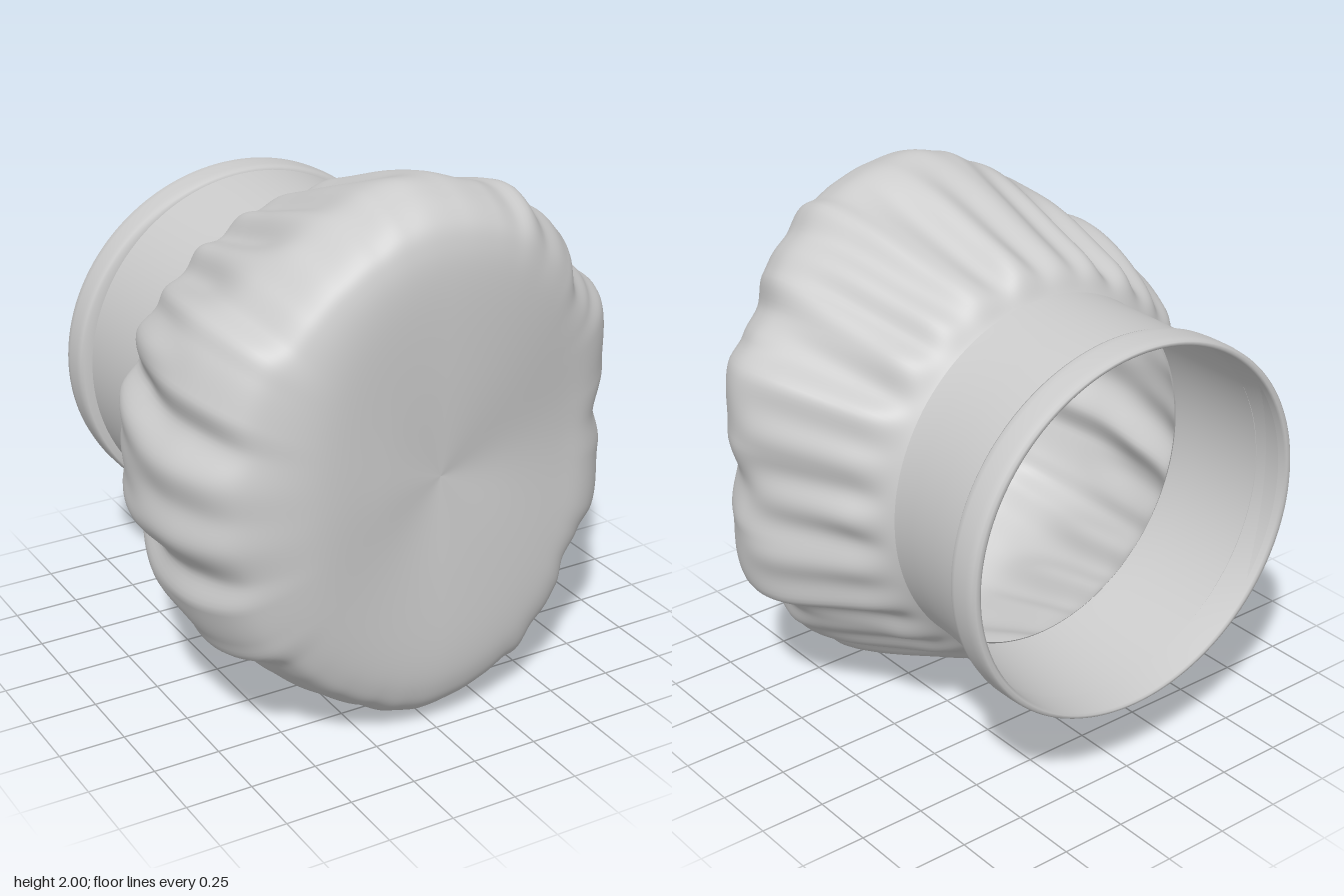
import * as THREE from 'three';

const material = new THREE.MeshStandardMaterial({ color: 0xcccccc, side: THREE.DoubleSide });
const smooth = THREE.MathUtils.smoothstep;

// Smooth skin over rings of points; pointAt(angle, row) gives [x, y, z].
function loft(name, rows, segments, pointAt) {
  const positions = [], index = [];
  for (let i = 0; i <= rows; i++) {
    for (let j = 0; j < segments; j++) positions.push(...pointAt((j / segments) * Math.PI * 2, i / rows));
  }
  for (let i = 0; i < rows; i++) {
    for (let j = 0; j < segments; j++) {
      const k = (j + 1) % segments;
      const a = i * segments + j, b = i * segments + k, c = a + segments, d = b + segments;
      index.push(a, b, c);
      if (i < rows - 1 || name !== 'puffyCrown') index.push(b, d, c);
    }
  }
  const geometry = new THREE.BufferGeometry();
  geometry.setAttribute('position', new THREE.Float32BufferAttribute(positions, 3));
  geometry.setIndex(index);
  geometry.computeVertexNormals();
  const mesh = new THREE.Mesh(geometry, material);
  mesh.name = name;
  return mesh;
}

// Crown profiles (radius, z) from the neck to the middle of the front face.
const profile = (points) => new THREE.CatmullRomCurve3(
  points.map(([r, z]) => new THREE.Vector3(r, z, 0)), false, 'catmullrom', 0.5);
const leftProfile = profile([[0.645, -0.25], [0.72, -0.15], [0.8, 0], [0.9, 0.2], [0.92, 0.33], [0.88, 0.45],
  [0.8, 0.56], [0.7, 0.63], [0.55, 0.665], [0.3, 0.71], [0, 0.74]]);
const upperProfile = profile([[0.67, -0.25], [0.76, -0.17], [0.84, 0.02], [0.94, 0.28], [1, 0.48], [0.98, 0.61],
  [0.93, 0.7], [0.85, 0.75], [0.7, 0.772], [0.4, 0.765], [0, 0.74]]);
const rightProfile = profile([[0.65, -0.25], [0.77, -0.16], [0.86, 0], [0.91, 0.17], [0.92, 0.33], [0.9, 0.5],
  [0.83, 0.66], [0.72, 0.745], [0.52, 0.8], [0.28, 0.785], [0, 0.74]]);

// Billowing outline: angle in degrees and radius, mirrored top to bottom.
const outline = [[0, 0.875], [10.6, 0.925], [25.8, 0.966], [32.7, 0.926], [40.5, 0.894], [47.6, 0.948],
  [53.5, 0.958], [58.3, 0.952], [65, 0.993], [69.5, 0.971], [75, 0.98], [84, 0.99], [92, 1], [99, 0.985],
  [107, 0.952], [117, 0.93], [127, 0.914], [134, 0.905], [141, 0.953], [145, 0.945], [155, 0.935],
  [162, 0.875], [172, 0.928], [180, 0.9]];
function outlineRadius(angle) {
  const degrees = Math.min(angle, Math.PI * 2 - angle) * 180 / Math.PI;
  let k = 0;
  while (k < outline.length - 2 && degrees > outline[k + 1][0]) k++;
  const [a0, r0] = outline[k], [a1, r1] = outline[k + 1];
  return r0 + (r1 - r0) * smooth(degrees, a0, a1);
}

function crownPoint(angle, row) {
  const c = Math.cos(angle), s = Math.sin(angle);
  const side = (c > 0 ? leftProfile : rightProfile).getPoint(row);
  const p = upperProfile.getPoint(row).lerp(side, c * c);
  const t = row * 10;
  // Large billows, strongest around the widest part
  const billow = smooth(t, 0, 3) * (1 - smooth(t, 5, 8.5));
  const swell = 1 + (outlineRadius(angle) / (0.92 + 0.08 * s * s) - 1) * billow;
  // Fine gathers running out of the neck
  const gather = smooth(t, 0, 1.5) * (1 - smooth(t, 2.5, 4.5));
  const pleat = 0.016 * gather * (Math.cos(26 * angle) + 0.6 * Math.cos(17 * angle));
  const r = p.x * swell + pleat;
  // Gathers sweep slightly as they leave the neck
  const turn = angle + 0.12 * s * (1 + c) / 2 * (1 - smooth(t, 0, 5));
  return [r * Math.cos(turn), 1 + r * Math.sin(turn), p.y];
}

// Oval tube through sections: [z, right x, left x, half height].
function ovalTube(name, sections) {
  const last = sections.length - 1;
  return loft(name, last, 128, (angle, row) => {
    const [z, x0, x1, h] = sections[Math.round(row * last)];
    return [(x0 + x1) / 2 + (x1 - x0) / 2 * Math.cos(angle), 1 + h * Math.sin(angle), z];
  });
}

export function createModel() {
  const group = new THREE.Group();
  group.name = 'puffyHat';
  group.add(loft('puffyCrown', 90, 320, crownPoint));
  group.add(ovalTube('headBand', [
    [-0.78, -0.665, 0.715, 0.682], [-0.67, -0.662, 0.703, 0.682], [-0.5, -0.66, 0.675, 0.68],
    [-0.35, -0.66, 0.655, 0.678], [-0.27, -0.662, 0.65, 0.678], [-0.24, -0.665, 0.65, 0.678]]));
  // Rolled hem around the opening, with rounded edges
  group.add(ovalTube('hem', [
    [-0.675, -0.66, 0.705, 0.675], [-0.805, -0.67, 0.715, 0.675], [-0.81, -0.68, 0.725, 0.682],
    [-0.81, -0.695, 0.74, 0.69], [-0.8, -0.706, 0.75, 0.695], [-0.77, -0.71, 0.752, 0.697],
    [-0.71, -0.71, 0.752, 0.697], [-0.685, -0.705, 0.745, 0.696], [-0.675, -0.695, 0.735, 0.692],
    [-0.672, -0.66, 0.7, 0.68]]));
  return group;
}
